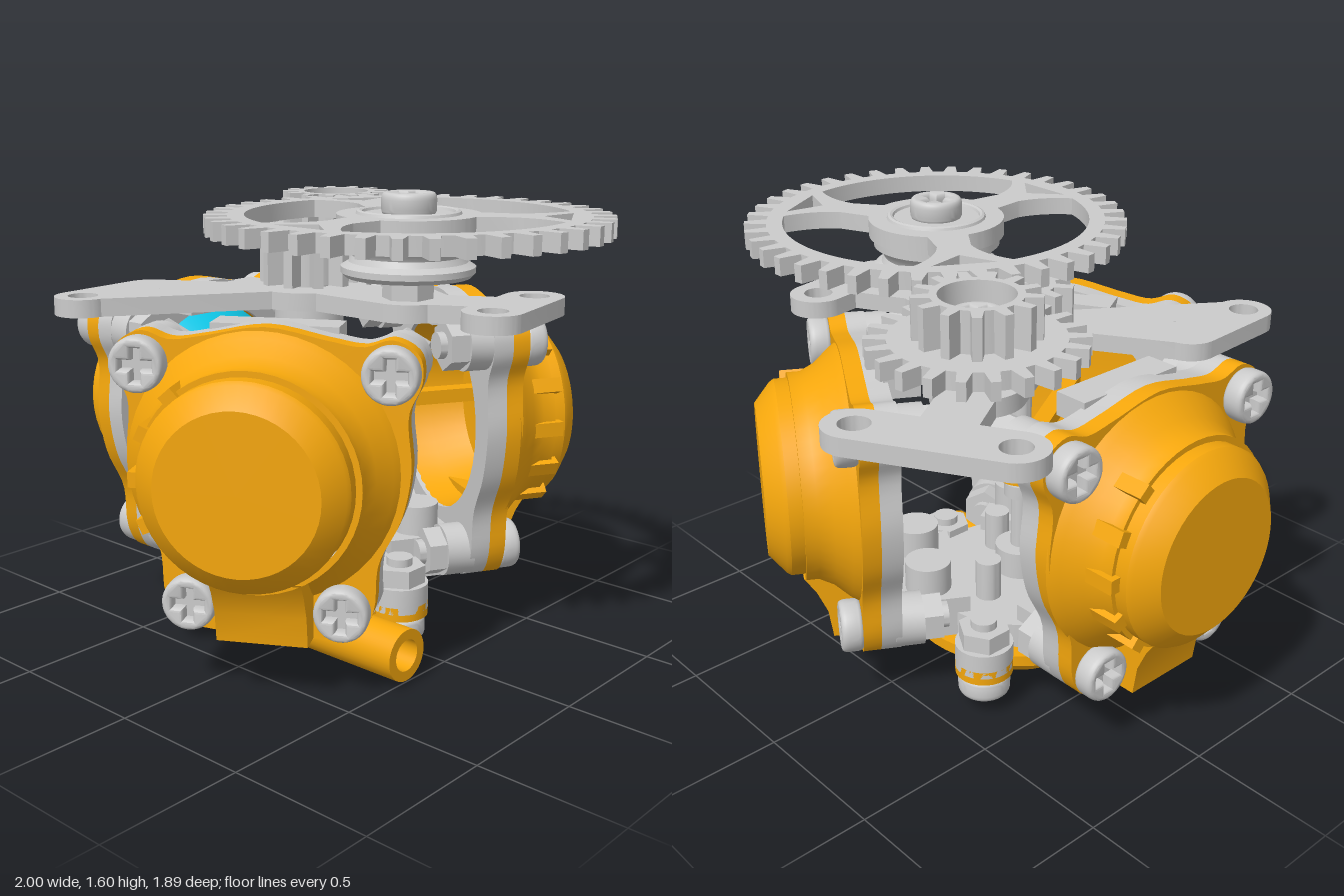
import * as THREE from 'three';
import { toCreasedNormals } from 'three/addons/utils/BufferGeometryUtils.js';

const mat = (color) => new THREE.MeshStandardMaterial({ color, side: THREE.DoubleSide });
const grey = mat(0xcccccc), orange = mat(0xf5a70c), cyan = mat(0x0fc8e8);
const AXIS = 0.76; // height of the pod axes

function add(parent, name, geo, material, x = 0, y = 0, z = 0) {
  const m = new THREE.Mesh(toCreasedNormals(geo, 0.55), material);
  m.name = name;
  m.position.set(x, y, z);
  parent.add(m);
  return m;
}
const cyl = (r, h, n = 32) => new THREE.CylinderGeometry(r, r, h, n);
const box = (w, h, d) => new THREE.BoxGeometry(w, h, d);
const lathe = (pts, n = 48) => new THREE.LatheGeometry(pts.map((p) => new THREE.Vector2(p[0], p[1])), n);
const latheZ = (pts, n) => lathe(pts, n).rotateX(Math.PI / 2);
const extrude = (shape, depth) => new THREE.ExtrudeGeometry(shape, { depth, bevelEnabled: false, curveSegments: 20 });
const slab = (shape, h) => extrude(shape, h).rotateX(-Math.PI / 2); // shape y becomes -z
const circlePath = (x, y, r) => new THREE.Path().absarc(x, y, r, 0, Math.PI * 2);
const polar = (r, a) => new THREE.Vector2(r * Math.cos(a), r * Math.sin(a));

// Pan-head screw with a cross recess, pointing up local +y
function screw(parent, x, y, z, rotX = 0) {
  const s = new THREE.Group();
  s.name = 'screw';
  const head = new THREE.Shape().absarc(0, 0, 0.077, 0, Math.PI * 2);
  const a = 0.066, b = 0.028;
  head.holes.push(new THREE.Path([[a, b], [b, b], [b, a], [-b, a], [-b, b], [-a, b], [-a, -b], [-b, -b], [-b, -a],
    [b, -a], [b, -b], [a, -b]].map((p) => new THREE.Vector2(...p))));
  const g = new THREE.ExtrudeGeometry(head, { depth: 0.03, bevelThickness: 0.022, bevelSize: 0.013, bevelSegments: 4, curveSegments: 24 });
  add(s, 'screwHead', g.rotateX(-Math.PI / 2), grey, 0, 0.024, 0);
  add(s, 'screwCore', cyl(0.075, 0.036), grey, 0, 0.018, 0);
  s.position.set(x, y, z);
  s.rotation.x = rotX;
  parent.add(s);
}

// Spur gear outline with straight-flanked teeth
function gearShape(r, depth, teeth) {
  const s = new THREE.Shape();
  for (let i = 0; i < teeth; i++) {
    [[-0.5, r - depth], [-0.29, r - depth], [-0.15, r], [0.15, r], [0.29, r - depth]].forEach(([f, rad], k) => {
      const p = polar(rad, ((i + f) / teeth) * Math.PI * 2);
      s[i || k ? 'lineTo' : 'moveTo'](p.x, p.y);
    });
  }
  s.closePath();
  return s;
}

// Flat link between two (x, z) points: round ends, optional bolt holes
function link(parent, p, q, r, h, y, holeP, holeQ) {
  const [x1, y1, x2, y2] = [p[0], -p[1], q[0], -q[1]];
  const t = Math.atan2(y2 - y1, x2 - x1), H = Math.PI / 2;
  const s = new THREE.Shape().absarc(x1, y1, r, t + H, t + 3 * H);
  s.absarc(x2, y2, r, t - H, t + H);
  if (holeP) s.holes.push(circlePath(x1, y1, holeP));
  if (holeQ) s.holes.push(circlePath(x2, y2, holeQ));
  add(parent, 'mountingPlate', slab(s, h), grey, 0, y, 0);
}

// Flange outline with four ears, relative to the pod axis
function flangeShape(hole) {
  const half = [[0.2, 0.42], [0.31, 0.405], [0.4, 0.43], [0.48, 0.385], [0.49, 0.3], [0.45, 0.2], [0.46, 0.02], [0.43, -0.14],
    [0.36, -0.29], [0.345, -0.45], [0.3, -0.53], [0.2, -0.555]];
  const pts = [[0, 0.455], ...half, ...half.slice().reverse().map(([x, y]) => [-x, y])];
  const curve = new THREE.CatmullRomCurve3(pts.map(([x, y]) => new THREE.Vector3(x, y, 0)), true);
  const s = new THREE.Shape(curve.getPoints(110).map((p) => new THREE.Vector2(p.x, p.y)));
  s.holes.push(circlePath(0, 0, hole));
  return s;
}

// One pump chamber, facing local +z
function pod(index) {
  const p = new THREE.Group();
  p.name = 'pumpChamber';
  add(p, 'backPlate', extrude(flangeShape(0.36), 0.07), grey, 0, 0, 0.485);
  add(p, 'chamberFlange', extrude(flangeShape(0.36), 0.06), orange, 0, 0, 0.555);
  add(p, 'chamberShell', latheZ([[0.36, 0.5], [0.34, 0.6], [0.29, 0.72], [0, 0.76]]), orange);
  add(p, 'chamberBody', latheZ([[0.45, 0.605], [0.425, 0.64], [0.38, 0.69], [0.355, 0.74], [0.355, 0.785], [0.335, 0.785]]), orange, -0.015);
  add(p, 'chamberCap', latheZ([[0.335, 0.76], [0.335, 0.83], [0.325, 0.845], [0.26, 0.9], [0, 0.9]]), orange, -0.02);
  // Low clip ribs on one side of the rim
  for (let i = 0; i < 5; i++) {
    const a = Math.PI + (i - 2) * 0.42;
    add(p, 'clipRib', box(0.05, 0.05, 0.14), orange, -0.015 + 0.35 * Math.cos(a), 0.35 * Math.sin(a), 0.735).rotation.z = a;
  }
  // Outlet block under the body
  const foot = new THREE.Shape([[0.6, -0.555], [0.7, -0.555], [0.715, -0.45], [0.75, -0.37], [0.79, -0.31], [0.6, -0.31]]
    .map((v) => new THREE.Vector2(-v[0], v[1])));
  add(p, 'chamberFoot', extrude(foot, 0.3).rotateY(Math.PI / 2), orange, -0.15, 0, 0);
  // Ear bolts: screw, sleeve, hex nut
  for (const [x, y] of [[0.4, 0.33], [-0.4, 0.33], [0.25, -0.45], [-0.25, -0.45]]) {
    screw(p, x, y, 0.61, Math.PI / 2);
    add(p, 'boltSleeve', cyl(0.092, 0.1).rotateX(Math.PI / 2), grey, x, y, 0.455);
    add(p, 'hexNut', cyl(0.088, 0.07, 6).rotateX(Math.PI / 2), grey, x, y, 0.375);
    add(p, 'boltEnd', cyl(0.045, 0.03).rotateX(Math.PI / 2), grey, x, y, 0.33);
  }
  // Brackets to the top plate and the base
  add(p, 'topBracket', box(0.42, 0.08, 0.12), grey, 0, 0.4, 0.44);
  add(p, 'bottomBracket', box(0.46, 0.15, 0.3), grey, 0, -0.48, 0.38);
  for (const x of [-0.13, 0.13]) add(p, 'valveBody', cyl(0.08, 0.16), grey, x, -0.38, 0.36);
  // Connecting rod
  const rodY = (index - 1) * 0.055;
  add(p, 'connectingRod', box(0.065, 0.05, 0.62), orange, 0, rodY, 0.39);
  add(p, 'rodEye', lathe([[0.045, -0.02], [0.085, -0.02], [0.085, 0.02], [0.045, 0.02], [0.045, -0.02]]), orange, 0, rodY, 0);
  if (index === 0) {
    add(p, 'diaphragm', latheZ([[0.36, 0.52], [0.345, 0.48], [0.3, 0.43], [0.265, 0.37], [0.23, 0.32], [0.2, 0.3], [0, 0.295]]), cyan);
    for (const [r, d] of [[0.185, 0.275], [0.155, 0.29]])
      add(p, 'diaphragmRing', new THREE.TorusGeometry(r, 0.013, 8, 40), orange, 0, 0, d);
  }
  return p;
}

export function createModel() {
  const model = new THREE.Group();
  model.name = 'gearedPump';
  const g = new THREE.Group();
  g.name = 'pump';
  g.position.set(-0.1, 0, 0.03);
  model.add(g);

  // Three chambers around the crank axis
  [-90, 30, 150].forEach((deg, i) => {
    const p = pod(i);
    p.position.y = AXIS;
    p.rotation.y = THREE.MathUtils.degToRad(deg);
    g.add(p);
  });

  // Crankshaft
  add(g, 'crankShaft', cyl(0.035, 1.16), grey, 0, 0.85, 0);
  for (const [y, r, h] of [[0.86, 0.06, 0.05], [0.64, 0.06, 0.05], [0.36, 0.09, 0.1], [1.15, 0.12, 0.08]])
    add(g, 'shaftCollar', cyl(r, h), grey, 0, y, 0);

  // Lower manifold with bosses and valve posts
  add(g, 'manifold', cyl(0.36, 0.09, 48), grey, 0, 0.25, 0);
  for (let i = 0; i < 3; i++) {
    const a = (i * Math.PI * 2) / 3, x = 0.42 * Math.cos(a), z = 0.42 * Math.sin(a);
    add(g, 'baseBoss', cyl(0.1, 0.09), grey, x, 0.215, z);
    add(g, 'baseNut', cyl(0.09, 0.065, 6), grey, x, 0.29, z);
    add(g, 'baseBoltEnd', cyl(0.045, 0.03), grey, x, 0.335, z);
    screw(g, x, 0.14, z, Math.PI);
    add(g, 'baseEar', cyl(0.1, 0.05), orange, x, 0.17, z);
    const b = a + 0.3;
    add(g, 'valvePost', cyl(0.045, 0.18), grey, 0.2 * Math.cos(b), 0.35, 0.2 * Math.sin(b));
  }

  // Base bowl with a slotted plug and the outlet spout
  add(g, 'baseBowl', lathe([[0, 0.012], [0.16, 0.012], [0.16, 0], [0.21, 0], [0.35, 0.12], [0.38, 0.16], [0.41, 0.16], [0.41, 0.2], [0, 0.2]]), orange);
  add(g, 'plugBar', box(0.31, 0.02, 0.035), orange, 0, 0.011, 0).rotation.y = 0.4;
  add(g, 'outletSpout', lathe([[0.055, 0.72], [0.055, 0], [0.09, 0], [0.09, 0.72], [0.055, 0.72]], 32).rotateZ(-Math.PI / 2), orange, -0.1, 0.11, 0.205);

  // Top plate: open frame of links and mounting lobes
  const Y = 1.19, T = 0.06;
  add(g, 'topPlate', cyl(0.2, T, 48), grey, 0, Y + T / 2, 0);
  const topLinks = [
    [[-0.23, -0.87], [-0.65, -0.63], 0.1, 0.05, 0.05],
    [[0.78, 0.0], [0.72, -0.32], 0.1, 0.05, 0.05],
    [[-0.4, 0.67], [-0.42, 0.36], 0.095, 0.05],
    [[-0.24, -0.41], [-0.44, -0.72], 0.09],
    [[0, 0], [-0.24, -0.41], 0.15],
    [[0, 0], [0.44, 0], 0.13],
    [[0.44, 0], [0.74, -0.16], 0.1],
    [[-0.42, 0.36], [0, 0.1], 0.09],
    [[-0.4, 0.67], [-0.05, 0.15], 0.08, 0.05],
  ];
  for (const [p, q, r, holeP, holeQ] of topLinks) link(g, p, q, r, T, Y, holeP, holeQ);

  // Drive pinion on the shaft
  add(g, 'drivePinion', slab(gearShape(0.17, 0.06, 10), 0.14), grey, 0, 1.26, 0);
  add(g, 'pinionHub', cyl(0.075, 0.18), grey, 0, 1.335, 0);

  // Idler: wide gear below, tall hollow pinion above
  const idler = new THREE.Group();
  idler.name = 'idlerGear';
  idler.position.set(-0.24, 0, -0.41);
  g.add(idler);
  const wide = gearShape(0.345, 0.07, 22), tall = gearShape(0.2, 0.055, 13);
  wide.holes.push(circlePath(0, 0, 0.11));
  tall.holes.push(circlePath(0, 0, 0.12));
  add(idler, 'idlerWideGear', slab(wide, 0.06), grey, 0, 1.335, 0);
  add(idler, 'idlerPinion', slab(tall, 0.135), grey, 0, 1.395, 0);
  add(idler, 'idlerBearing', cyl(0.112, 0.06), grey, 0, 1.37, 0);
  add(idler, 'idlerNut', cyl(0.085, 0.06, 6), grey, 0, 1.285, 0);
  screw(idler, 0, 1.4, 0);

  // Output wheel with three spokes and a grooved pulley
  const wheel = new THREE.Group();
  wheel.name = 'outputWheel';
  wheel.position.set(0.44, 0, 0);
  g.add(wheel);
  const rim = gearShape(0.66, 0.075, 40);
  for (let i = 0; i < 3; i++) {
    const a = Math.PI / 2 + (i * Math.PI * 2) / 3;
    const hole = new THREE.Path().absarc(0, 0, 0.53, a - 0.74, a + 0.74);
    const [c1, p1] = [polar(0.44, a + 0.88), polar(0.34, a + 0.88)];
    const [p2, c2, p3] = [polar(0.34, a - 0.88), polar(0.44, a - 0.88), polar(0.53, a - 0.74)];
    hole.quadraticCurveTo(c1.x, c1.y, p1.x, p1.y);
    hole.absarc(0, 0, 0.235, a + 0.75, a - 0.75, true);
    hole.lineTo(p2.x, p2.y);
    hole.quadraticCurveTo(c2.x, c2.y, p3.x, p3.y);
    // Small triangular opening where the spoke flares into the rim
    const s = a + Math.PI / 3;
    rim.holes.push(hole, new THREE.Path([polar(0.43, s), polar(0.53, s + 0.2), polar(0.53, s - 0.2)]));
  }
  add(wheel, 'wheelGear', slab(rim, 0.06), grey, 0, 1.468, 0);
  add(wheel, 'pulley', lathe([[0, 1.325], [0.205, 1.325], [0.22, 1.34], [0.22, 1.36], [0.195, 1.375], [0.185, 1.395],
    [0.195, 1.415], [0.22, 1.435], [0.22, 1.47]]), grey);
  add(wheel, 'bearingRing', new THREE.TorusGeometry(0.16, 0.012, 8, 40).rotateX(Math.PI / 2), grey, 0, 1.528, 0);
  add(wheel, 'wheelNut', cyl(0.085, 0.065, 6), grey, 0, 1.285, 0);
  add(wheel, 'wheelSpacer', cyl(0.06, 0.14), grey, 0, 1.28, 0);
  screw(wheel, 0, 1.52, 0);

  return model;
}
